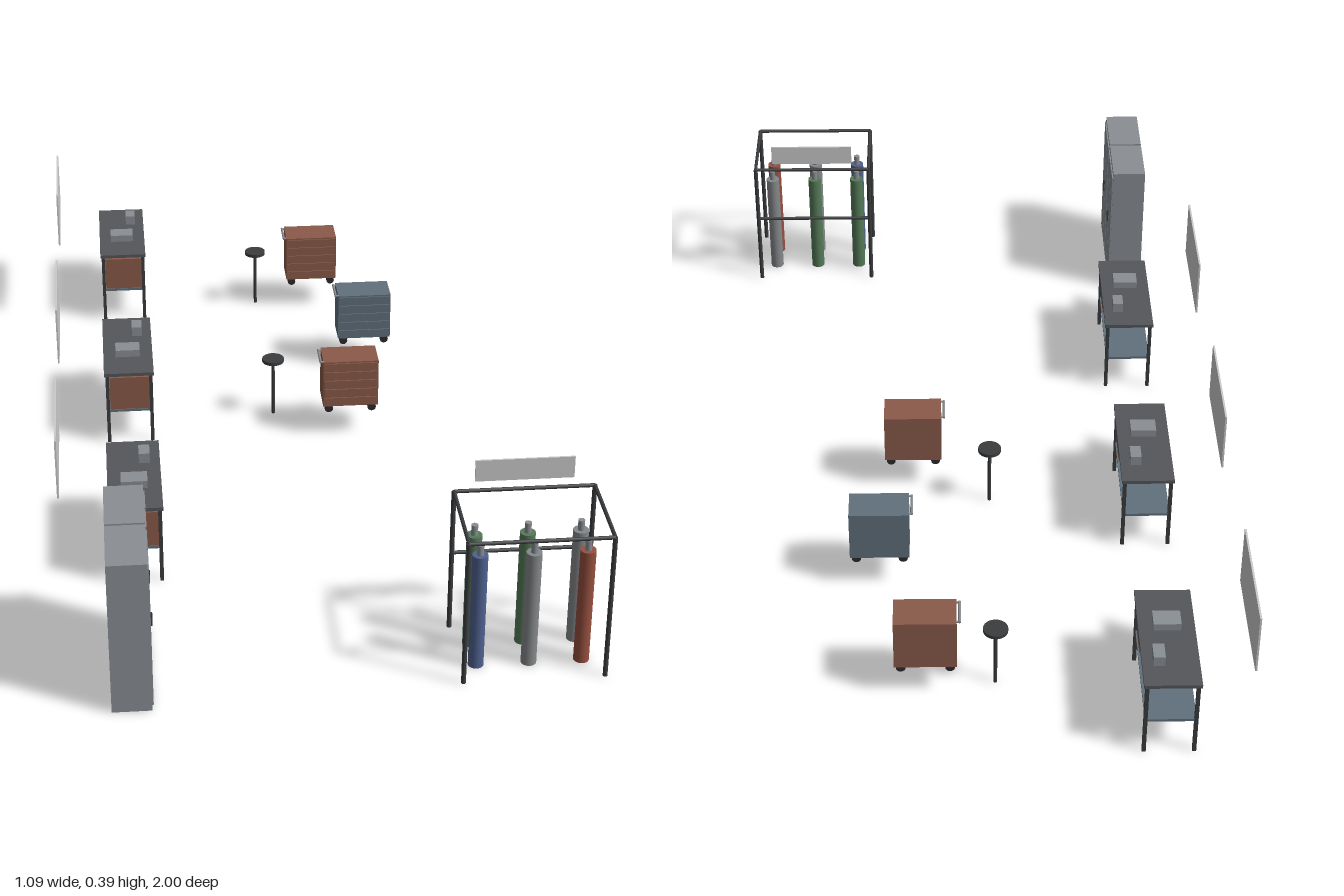
import * as THREE from 'three';

const mat = (color) => new THREE.MeshStandardMaterial({ color });
const M = {
  grey: mat(0xcccccc), dark: mat(0x3a3c3e), steel: mat(0x8a8f94), top: mat(0x54565a),
  brown: mat(0x8a5a4a), slate: mat(0x60707c), blue: mat(0x4f6190), green: mat(0x557a58),
  red: mat(0x96503f), tank: mat(0x85888a), rubber: mat(0x2c2c2e),
};

// Box given by its minimum and maximum corners
function box(parent, name, m, x0, x1, y0, y1, z0, z1) {
  const mesh = new THREE.Mesh(new THREE.BoxGeometry(x1 - x0, y1 - y0, z1 - z0), m);
  mesh.position.set((x0 + x1) / 2, (y0 + y1) / 2, (z0 + z1) / 2);
  mesh.name = name;
  parent.add(mesh);
  return mesh;
}

// Cylinder between two points
function rod(parent, name, m, r, a, b, sides = 12) {
  const p = new THREE.Vector3(...a), q = new THREE.Vector3(...b);
  const dir = q.clone().sub(p);
  const mesh = new THREE.Mesh(new THREE.CylinderGeometry(r, r, dir.length(), sides), m);
  mesh.position.copy(p).add(q).multiplyScalar(0.5);
  mesh.quaternion.setFromUnitVectors(new THREE.Vector3(0, 1, 0), dir.normalize());
  mesh.name = name;
  parent.add(mesh);
  return mesh;
}

function group(parent, name, x = 0, z = 0) {
  const g = new THREE.Group();
  g.name = name;
  g.position.set(x, 0, z);
  parent.add(g);
  return g;
}

function workbench(parent, z) {
  const g = group(parent, 'workbench', -0.383, z);
  box(g, 'benchTop', M.top, -0.058, 0.058, 0.177, 0.185, -0.143, 0.143);
  for (const sx of [-1, 1]) for (const sz of [-1, 1]) {
    const x = sx * 0.051, lz = sz * 0.134;
    box(g, 'benchLeg', M.dark, x - 0.004, x + 0.004, 0, 0.177, lz - 0.004, lz + 0.004);
  }
  box(g, 'lowerShelf', M.slate, -0.052, 0.052, 0.079, 0.085, -0.134, 0.134);
  // Drawer unit under one end
  box(g, 'drawerUnit', M.brown, -0.046, 0.049, 0.08, 0.168, 0.062, 0.132);
  // Tool box and vise on the worktop
  box(g, 'toolBox', M.steel, -0.029, 0.028, 0.185, 0.202, 0.018, 0.06);
  box(g, 'viseBody', M.steel, 0.012, 0.036, 0.185, 0.208, -0.086, -0.046);
}

function wallBoard(parent, z) {
  box(parent, 'wallBoard', M.grey, -0.546, -0.542, 0.215, 0.352, z - 0.136, z + 0.136);
}

function locker(parent, z) {
  const g = group(parent, 'locker', -0.408, z);
  box(g, 'lockerBody', M.steel, -0.04, 0.04, 0, 0.34, -0.0725, 0.0725);
  for (const s of [-1, 1]) {
    box(g, 'lockerDoor', M.steel, 0.04, 0.043, 0.012, 0.328, s * 0.036 - 0.034, s * 0.036 + 0.034);
  }
  box(g, 'lockerHandle', M.dark, 0.043, 0.047, 0.155, 0.185, 0.003, 0.007);
}

function stool(parent, x, z) {
  const g = group(parent, 'stool', x, z);
  rod(g, 'stoolPost', M.dark, 0.004, [0, 0, 0], [0, 0.142, 0]);
  rod(g, 'stoolSeat', M.dark, 0.026, [0, 0.141, 0], [0, 0.149, 0], 24);
}

function toolCart(parent, x, z, m) {
  const g = group(parent, 'toolCart', x, z);
  box(g, 'cartBody', m, -0.065, 0.065, 0.08, 0.197, -0.04, 0.038);
  // Five drawer fronts
  for (let i = 0; i < 5; i++) {
    const y = 0.083 + i * 0.0226;
    box(g, 'cartDrawer', m, -0.062, 0.062, y, y + 0.02, 0.038, 0.041);
  }
  // Push handle on one end
  rod(g, 'cartHandle', M.steel, 0.003, [-0.071, 0.195, -0.032], [-0.071, 0.195, 0.032], 8);
  for (const s of [-1, 1]) {
    rod(g, 'handleBracket', M.steel, 0.0025, [-0.071, 0.195, s * 0.03], [-0.063, 0.195, s * 0.03], 8);
    for (const sz of [-1, 1]) {
      rod(g, 'caster', M.rubber, 0.01, [s * 0.051, 0.071, sz * 0.028 - 0.004], [s * 0.051, 0.071, sz * 0.028 + 0.004], 16);
    }
  }
}

function gasCylinder(parent, x, z, m) {
  const g = group(parent, 'gasCylinder', x, z);
  rod(g, 'cylinderBody', m, 0.016, [0, 0, 0], [0, 0.262, 0], 20);
  rod(g, 'cylinderValve', M.steel, 0.007, [0, 0.262, 0], [0, 0.285, 0], 12);
}

function cylinderRack(parent) {
  const g = group(parent, 'cylinderRack');
  const [x0, x1, z0, z1, h] = [0.254, 0.541, 0.762, 0.961, 0.326];
  for (const x of [x0, x1]) {
    for (const z of [z0, z1]) rod(g, 'rackPost', M.dark, 0.005, [x, 0, z], [x, h, z]);
    rod(g, 'topRailSide', M.dark, 0.004, [x, h, z0], [x, h, z1]);
  }
  for (const z of [z0, z1]) rod(g, 'topRailLong', M.dark, 0.004, [x0, h, z], [x1, h, z]);
  rod(g, 'middleRail', M.dark, 0.004, [x0, 0.181, z0], [x1, 0.181, z0]);
  box(g, 'rackSignPanel', M.grey, 0.296, 0.498, 0.346, 0.394, 0.757, 0.761);
  // Two rows of three gas cylinders
  const rows = [[0.825, [M.green, M.green, M.tank]], [0.9, [M.blue, M.tank, M.red]]];
  for (const [z, colors] of rows) {
    colors.forEach((m, i) => gasCylinder(g, 0.288 + i * 0.108, z, m));
  }
}

export function createModel() {
  const model = new THREE.Group();
  model.name = 'workshop';
  for (const z of [-0.857, -0.207, 0.399]) {
    workbench(model, z);
    wallBoard(model, z);
  }
  for (const z of [0.777, 0.9275]) locker(model, z);
  for (const z of [-0.786, -0.179]) stool(model, -0.037, z);
  toolCart(model, 0.108, -0.787, M.brown);
  toolCart(model, 0.208, -0.438, M.slate);
  toolCart(model, 0.137, -0.092, M.brown);
  cylinderRack(model);
  return model;
}
